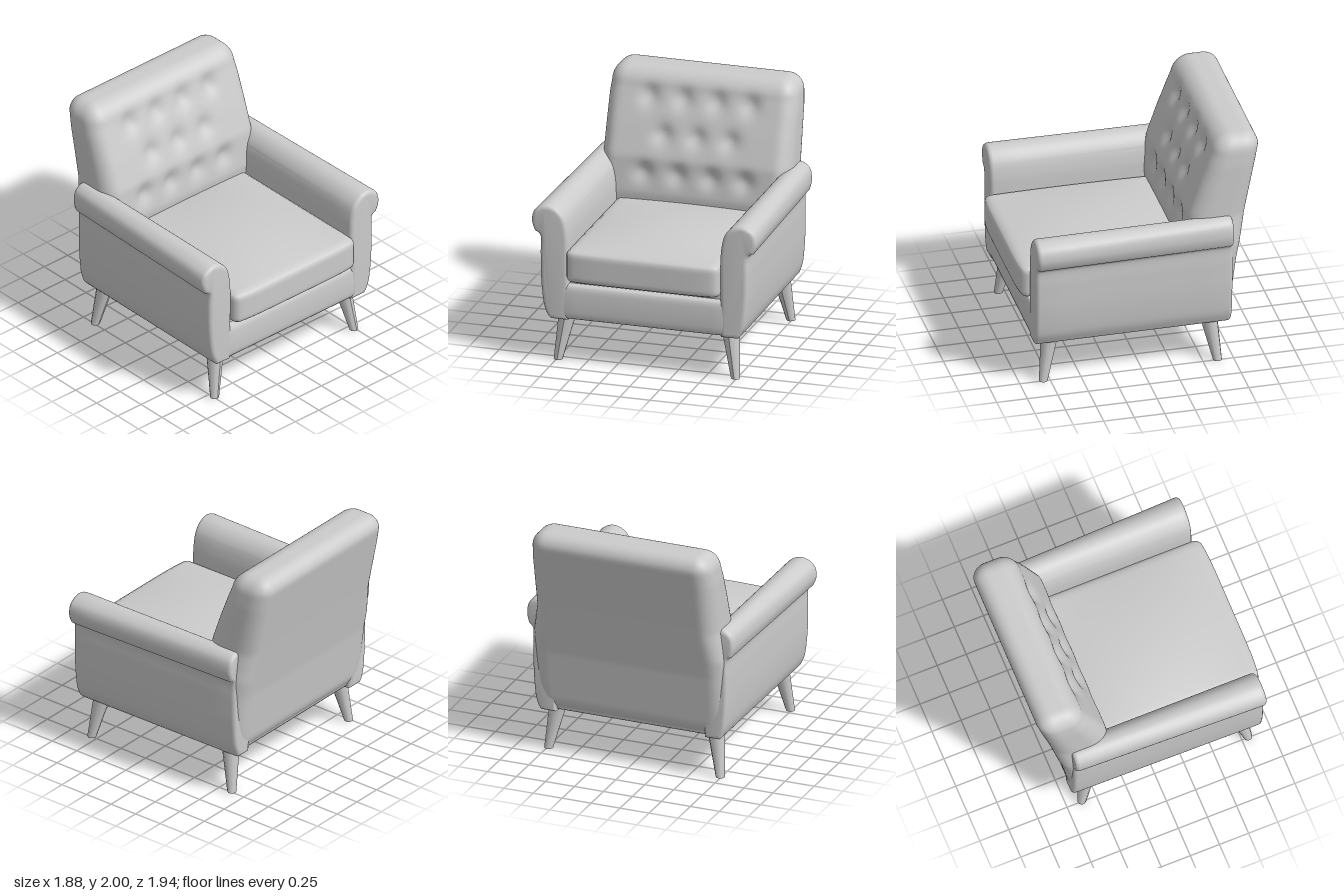
import * as THREE from 'three';
import { mergeVertices, toCreasedNormals } from 'three/addons/utils/BufferGeometryUtils.js';

const material = new THREE.MeshStandardMaterial({ color: 0xcccccc, roughness: 0.85 });

// Piecewise-linear lookup in [[input, output], ...]
function lookup(table, t) {
  if (t <= table[0][0]) return table[0][1];
  for (let i = 1; i < table.length; i++) {
    const [a, va] = table[i - 1], [b, vb] = table[i];
    if (t <= b) return va + (vb - va) * (t - a) / (b - a);
  }
  return table[table.length - 1][1];
}

// Finely divided box with rounded edges, then reshaped by a rule
function softBox(size, r, segments, warp) {
  let geo = new THREE.BoxGeometry(...size, ...segments);
  geo.deleteAttribute('uv');
  geo.deleteAttribute('normal');
  geo = mergeVertices(geo);
  const pos = geo.attributes.position;
  const p = new THREE.Vector3(), half = new THREE.Vector3(...size).multiplyScalar(0.5);
  const inner = half.clone().subScalar(r), outerNeg = inner.clone().negate();
  for (let i = 0; i < pos.count; i++) {
    p.fromBufferAttribute(pos, i);
    const core = p.clone().clamp(outerNeg, inner);
    p.sub(core).normalize().multiplyScalar(r).add(core);
    warp(p, half);
    pos.setXYZ(i, p.x, p.y, p.z);
  }
  geo.computeVertexNormals();
  return geo;
}

export function createModel() {
  const group = new THREE.Group();
  const add = (name, geo) => {
    const mesh = new THREE.Mesh(geo, material);
    mesh.name = name;
    group.add(mesh);
    return mesh;
  };

  // Raked backrest: front and rear lines by height, with staggered button dimples
  const frontLine = [[0.36, -0.42], [1.03, -0.36], [1.32, -0.39], [1.55, -0.47], [1.85, -0.585], [2, -0.62]];
  const rearLine = [[0.36, -0.71], [0.9, -0.78], [1.35, -0.865], [1.9, -0.975], [2, -0.985]];
  const widthLine = [[0.36, 0.79], [0.6, 0.83], [1.05, 0.835], [1.3, 0.79], [1.75, 0.785], [2, 0.765]];
  const buttons = [];
  [1.2, 1.5, 1.78].forEach((y, row) => {
    for (let i = 0; i < 4 - row % 2; i++) buttons.push([(i - (3 - row % 2) / 2) * 0.28, y]);
  });
  add('backrest', softBox([1.58, 1.64, 0.36], 0.13, [64, 64, 14], (p, half) => {
    const depth = p.z / half.z;
    p.y += 1.18;
    p.x *= lookup(widthLine, p.y) / 0.79;
    const zf = lookup(frontLine, p.y), zb = lookup(rearLine, p.y);
    p.z = (zf + zb) / 2 + depth * (zf - zb) / 2;
    if (depth > 0.9) {
      for (const [bx, by] of buttons) {
        const d2 = (p.x - bx) ** 2 + (p.y - by) ** 2;
        p.z -= 0.04 * Math.exp(-d2 / 0.006);
      }
    }
  }));

  // Base with a softly bulging front rail
  add('base', softBox([1.5, 0.31, 1.57], 0.05, [16, 12, 16], (p, half) => {
    p.y += 0.515;
    p.z += 0.095;
    if (p.z > 0.8) p.z += 0.015 * Math.cos((p.y - 0.5) * 8);
  }));

  // Crowned seat cushion, standing proud of the arms
  add('seatCushion', softBox([1.28, 0.27, 1.4], 0.05, [32, 14, 32], (p, half) => {
    const u = p.x / half.x, w = p.z / half.z;
    const crown = (1 - u * u) * (1 - w * w);
    p.z += 0.27 - (w > 0.8 ? 0.025 * u ** 6 : 0);
    p.y += 0.835 + (p.y > 0 ? 0.065 * crown : 0);
  }));

  // Infill under the cushion, set back to leave a shadow gap
  const infill = add('seatDeck', new THREE.BoxGeometry(1.28, 0.2, 1.4));
  infill.position.set(0, 0.64, 0.13);

  // Arms: scrolled section drawn out from rear to front
  const section = [[0.84, 0.48], [0.862, 0.68], [0.867, 0.9], [0.868, 1.05], [0.915, 1.095], [0.94, 1.18],
    [0.915, 1.265], [0.83, 1.312], [0.74, 1.295], [0.67, 1.22], [0.64, 1.1], [0.632, 0.95]];
  for (const s of [1, -1]) {
    const shape = new THREE.Shape();
    shape.moveTo(s * 0.64, 0.36);
    shape.lineTo(s * 0.78, 0.36);
    shape.lineTo(s * 0.805, 0.385);
    shape.splineThru(section.map(([x, y]) => new THREE.Vector2(s * x, y)));
    shape.closePath();
    const bevel = 0.035;
    const geo = new THREE.ExtrudeGeometry(shape, {
      depth: 1.62 - 2 * bevel, steps: 8, curveSegments: 36,
      bevelEnabled: true, bevelThickness: bevel, bevelSize: bevel, bevelOffset: -bevel, bevelSegments: 4,
    });
    geo.translate(0, 0, -0.725 + bevel);
    // The outer side draws in toward the rear
    const pos = geo.attributes.position;
    for (let i = 0; i < pos.count; i++) {
      const x = Math.abs(pos.getX(i)), back = (0.895 - pos.getZ(i)) / 1.62;
      const outer = Math.max(0, (x - 0.63) / 0.31);
      pos.setX(i, s * (x - 0.05 * back * outer * outer));
      if (pos.getY(i) > 1.2) pos.setY(i, pos.getY(i) + 0.008 * back);
    }
    add(s > 0 ? 'leftArm' : 'rightArm', toCreasedNormals(geo, 0.7));

    // Splayed tapered legs
    for (const [name, z, dz] of [['FrontLeg', 0.74, 0.065], ['RearLeg', -0.56, -0.06]]) {
      const leg = new THREE.CylinderGeometry(0.072, 0.036, 0.38, 10);
      leg.translate(0, 0.19, 0);
      const lp = leg.attributes.position;
      for (let i = 0; i < lp.count; i++) {
        const drop = 1 - lp.getY(i) / 0.38;
        lp.setX(i, lp.getX(i) + s * (0.68 + 0.06 * drop));
        lp.setZ(i, lp.getZ(i) + z + dz * drop);
      }
      leg.computeVertexNormals();
      add((s > 0 ? 'left' : 'right') + name, leg);
    }
  }
  return group;
}
